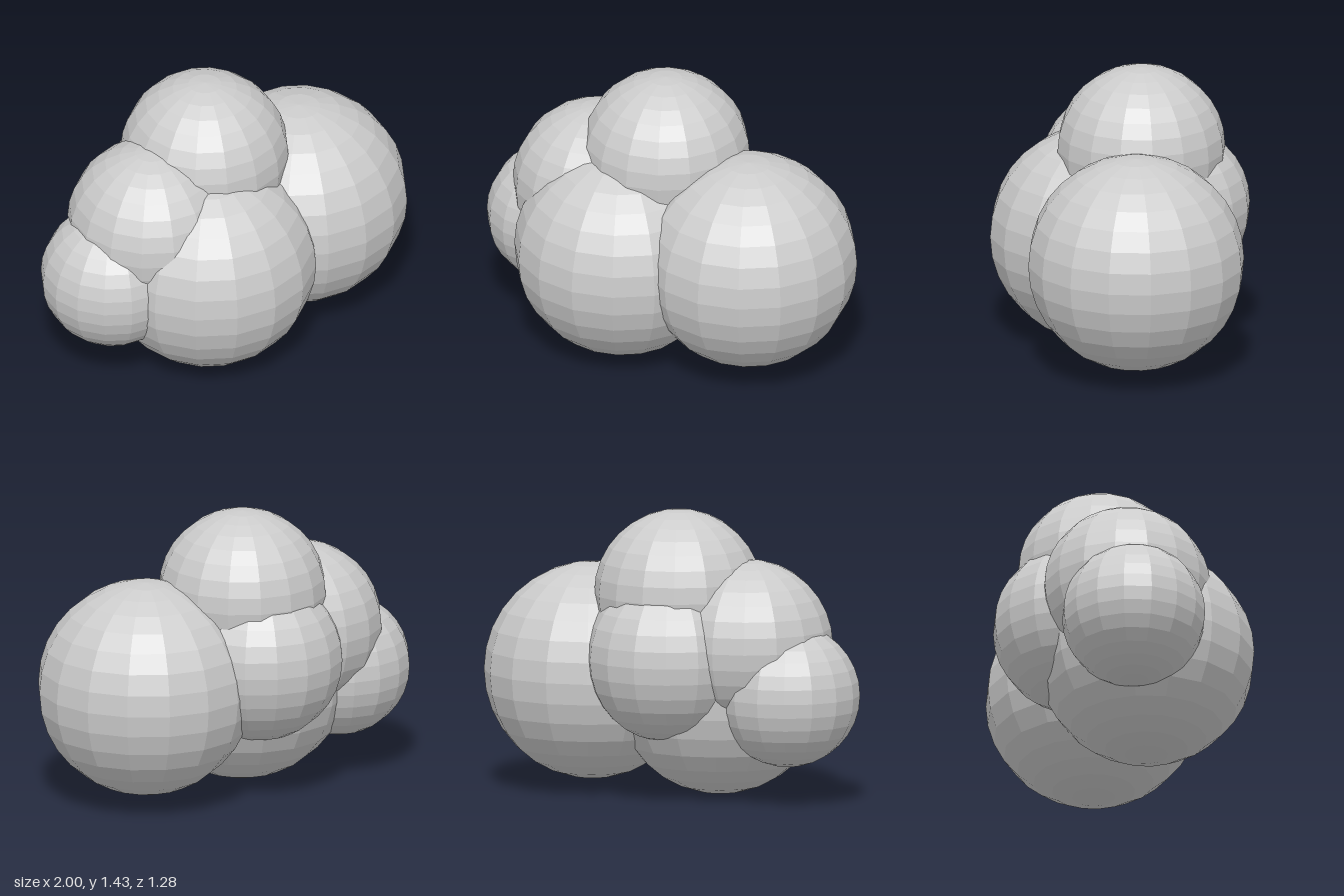
import * as THREE from 'three';

// A clump of overlapping faceted puffs: name, centre x y z, radius
const PUFFS = [
  ['rightPuffLarge', 0.46, 0.59, 0.0, 0.537],
  ['frontPuffLarge', -0.19, 0.54, 0.1, 0.537],
  ['topPuff', -0.055, 1.015, -0.097, 0.417],
  ['backPuff', -0.067, 0.71, -0.222, 0.417],
  ['sidePuffUpper', -0.418, 0.78, -0.06, 0.417],
  ['sidePuffLower', -0.645, 0.542, -0.083, 0.356],
];

export function createModel() {
  const group = new THREE.Group();
  group.name = 'puffCluster';
  const material = new THREE.MeshStandardMaterial({ color: 0xcccccc, flatShading: true });

  // Every puff shares one unit sphere, scaled to its radius
  const sphere = new THREE.SphereGeometry(1, 16, 16);
  for (const [name, x, y, z, radius] of PUFFS) {
    const puff = new THREE.Mesh(sphere, material);
    puff.name = name;
    puff.position.set(x, y, z);
    puff.scale.setScalar(radius);
    group.add(puff);
  }
  return group;
}
